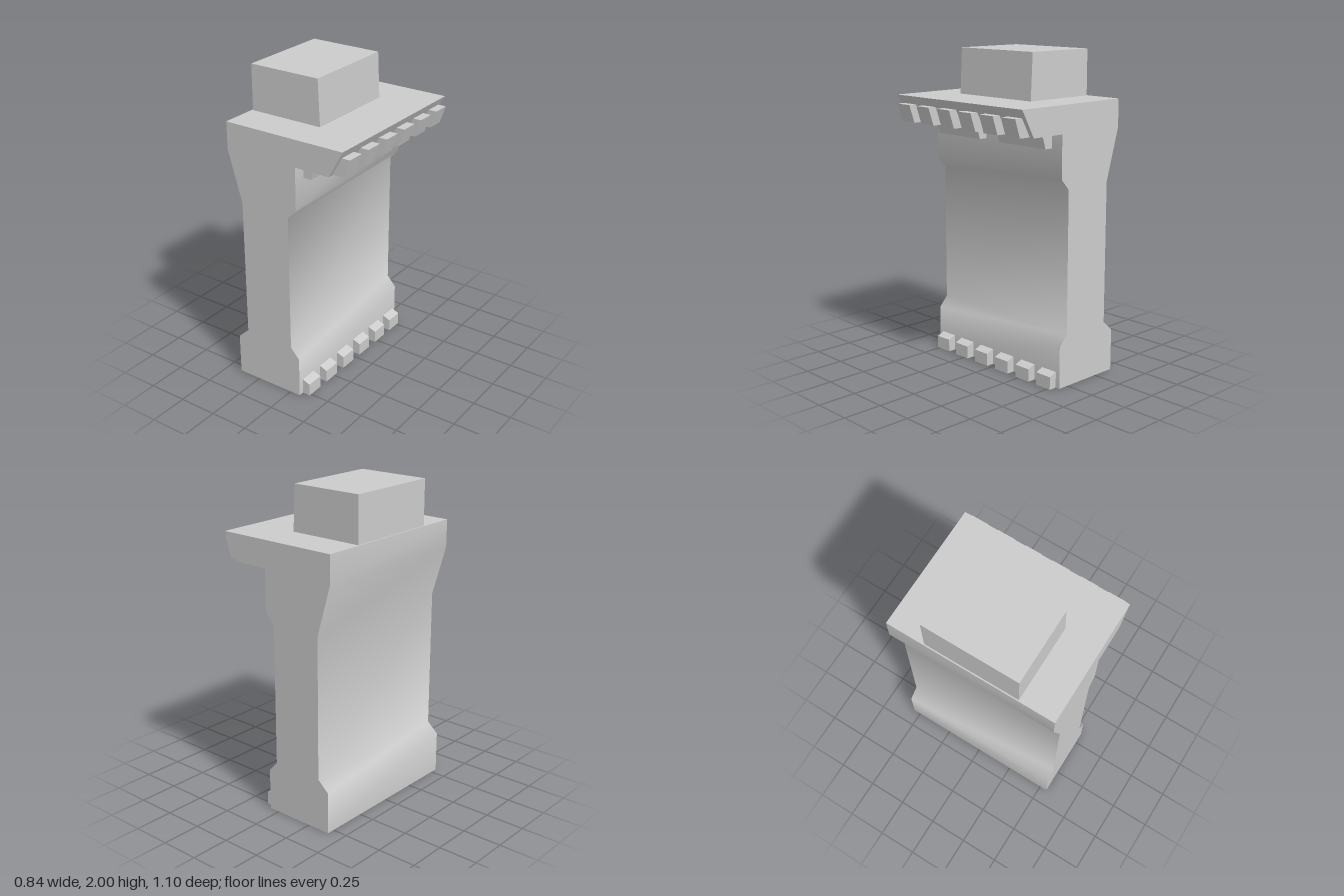
import * as THREE from 'three';
import { toCreasedNormals } from 'three/addons/utils/BufferGeometryUtils.js';

const material = new THREE.MeshStandardMaterial({ color: 0xcccccc });

// Side profile (x, y) swept along z from z0 to z1
function prism(name, profile, z0, z1, crease = 0.1) {
  const shape = new THREE.Shape(profile.map(([x, y]) => new THREE.Vector2(x, y)));
  const geometry = new THREE.ExtrudeGeometry(shape, { depth: z1 - z0, bevelEnabled: false });
  geometry.translate(0, 0, z0);
  const mesh = new THREE.Mesh(toCreasedNormals(geometry, crease), material);
  mesh.name = name;
  return mesh;
}

export function createModel() {
  const model = new THREE.Group();
  model.name = 'wallSegment';

  // Wall with flared foot, widened head and overhanging ledge; soft shading over the shallow bends
  model.add(prism('wall', [
    [-0.402, 0], [0.07, 0], [0.07, 0.264], [0.01, 0.33],
    [0.01, 1.214], [0.07, 1.282], [0.07, 1.546], [0.302, 1.546],
    [0.394, 1.714], [-0.422, 1.714], [-0.422, 1.54], [-0.328, 1.22],
    [-0.328, 0.33], [-0.402, 0.264],
  ], -0.549, 0.549, 0.9));

  // Block on top, its ledge side leaning slightly inwards
  model.add(prism('topBlock', [
    [-0.414, 1.71], [0.076, 1.71], [0.062, 2], [-0.414, 2],
  ], -0.3, 0.316));

  // Rows of teeth on the ledge edge and along the foot
  const ledgeTooth = [[0.302, 1.55], [0.381, 1.55], [0.419, 1.662], [0.362, 1.662]];
  const footTooth = [[0.01, 0], [0.122, 0], [0.122, 0.08], [0.07, 0.1], [0.01, 0.1]];
  for (const z of [-0.462, -0.282, -0.097, 0.09, 0.277, 0.458]) {
    model.add(prism('ledgeTooth', ledgeTooth, z - 0.057, z + 0.057));
    model.add(prism('footTooth', footTooth, z - 0.057, z + 0.057));
  }

  // Two long brackets under the ledge
  const bracket = [[0.06, 1.456], [0.124, 1.456], [0.152, 1.55], [0.06, 1.55]];
  model.add(prism('bracketFront', bracket, 0.088, 0.472));
  model.add(prism('bracketBack', bracket, -0.468, -0.084));

  return model;
}
